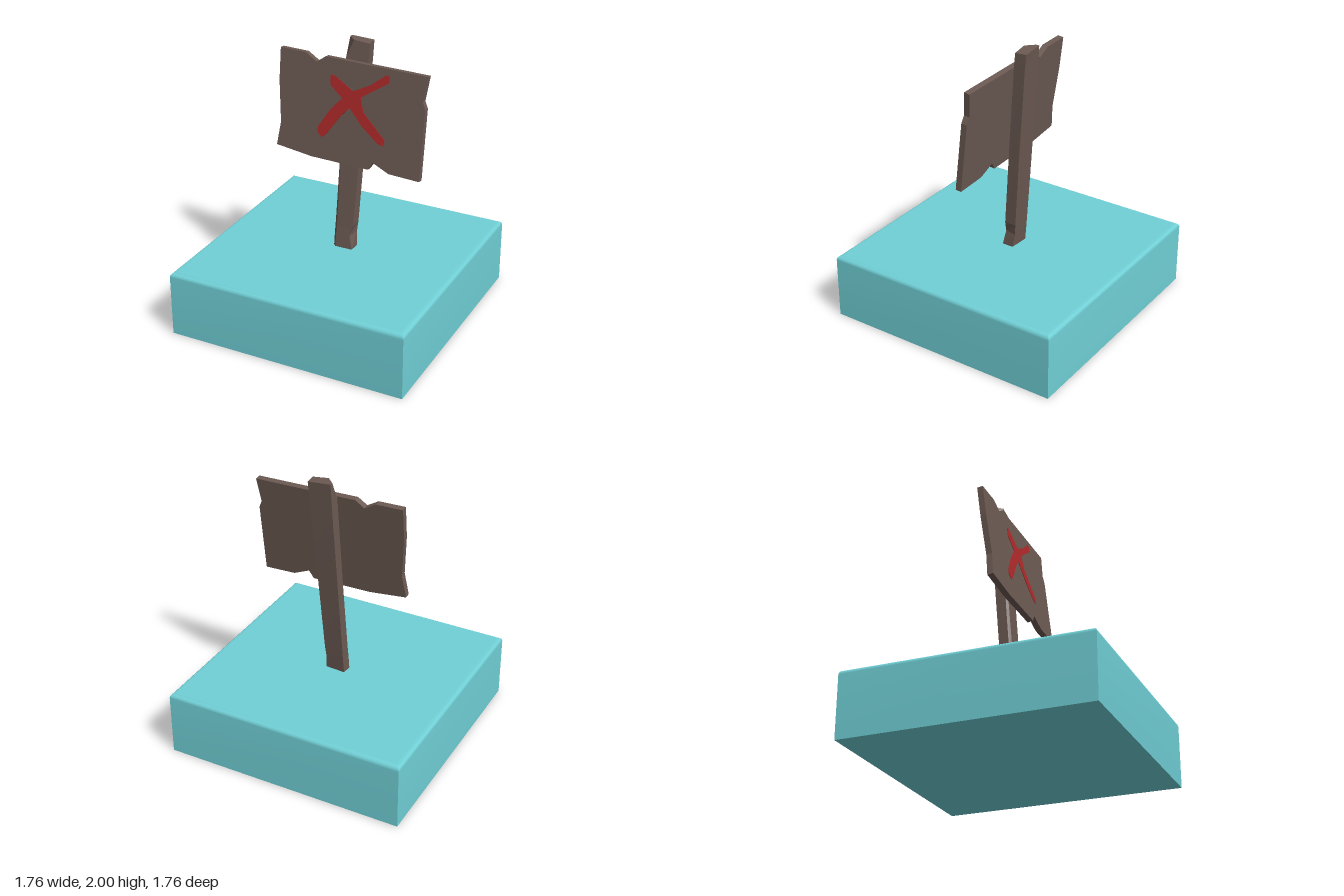
import * as THREE from 'three';
import { toCreasedNormals } from 'three/addons/utils/BufferGeometryUtils.js';

// Skin between rings of [x, y, z] corners, counter-clockwise from above, with both ends capped
function loft(rings, crease) {
  const n = rings[0].length;
  const index = [];
  for (let r = 0; r < rings.length - 1; r++) {
    for (let i = 0; i < n; i++) {
      const a = r * n + i, b = r * n + (i + 1) % n;
      index.push(a, b, b + n, a, b + n, a + n);
    }
  }
  const top = (rings.length - 1) * n;
  for (let i = 1; i < n - 1; i++) {
    index.push(0, i + 1, i);
    index.push(top, top + i, top + i + 1);
  }
  const g = new THREE.BufferGeometry();
  g.setAttribute('position', new THREE.Float32BufferAttribute(rings.flat(2), 3));
  g.setIndex(index);
  return toCreasedNormals(g, crease);
}

// Flat outline given thickness
function plate(points, depth) {
  const shape = new THREE.Shape(points.map(([x, y]) => new THREE.Vector2(x, y - 1.14)));
  return new THREE.ExtrudeGeometry(shape, { depth, bevelEnabled: false });
}

export function createModel() {
  const model = new THREE.Group();
  const water = new THREE.MeshStandardMaterial({ name: 'turquoise', color: 0x70d0d6 });
  const wood = new THREE.MeshStandardMaterial({ name: 'weathered wood', color: 0x6c5a53 });
  const red = new THREE.MeshStandardMaterial({ name: 'red paint', color: 0xb02a2a });

  const add = (parent, name, geometry, material) => {
    const mesh = new THREE.Mesh(geometry, material);
    mesh.name = name;
    parent.add(mesh);
    return mesh;
  };

  // Base block: sharp upright corners, rounded top edges
  const half = 0.88, height = 0.48, r = 0.03;
  const square = (h, y) => [[-h, y, h], [h, y, h], [h, y, -h], [-h, y, -h]];
  const baseRings = [square(half, 0), square(half, height - r - 0.005)];
  for (let i = 0; i <= 5; i++) {
    const a = (i / 5) * Math.PI / 2;
    baseRings.push(square(half - r + r * Math.cos(a), height - r + r * Math.sin(a)));
  }
  baseRings.push(square(half - r - 0.005, height));
  add(model, 'base', loft(baseRings, 0.5), water);

  // Leaning post: chamfered front left edge, chips low on the right and at the top
  add(model, 'post', loft([
    [[-0.066, 0.42, 0.0], [-0.05, 0.42, 0.025], [0.088, 0.42, 0.025], [0.088, 0.42, -0.06], [-0.062, 0.42, -0.07]],
    [[-0.065, 0.48, -0.003], [-0.045, 0.48, 0.02], [0.085, 0.48, 0.018], [0.085, 0.48, -0.065], [-0.06, 0.48, -0.075]],
    [[-0.062, 0.58, -0.01], [-0.043, 0.58, 0.008], [0.06, 0.58, 0.006], [0.077, 0.58, -0.08], [-0.058, 0.58, -0.085]],
    [[-0.06, 0.66, -0.02], [-0.04, 0.66, -0.001], [0.085, 0.66, -0.002], [0.085, 0.66, -0.088], [-0.056, 0.66, -0.092]],
    [[-0.046, 1.15, -0.06], [-0.034, 1.15, -0.043], [0.108, 1.15, -0.046], [0.106, 1.15, -0.128], [-0.045, 1.15, -0.133]],
    [[-0.03, 1.87, -0.12], [-0.024, 1.87, -0.104], [0.141, 1.87, -0.112], [0.136, 1.87, -0.194], [-0.028, 1.87, -0.192]],
    [[-0.026, 2.0, -0.175], [0.03, 2.0, -0.118], [0.145, 1.988, -0.125], [0.138, 1.99, -0.208], [-0.026, 2.0, -0.2]],
  ], 0.12), wood);

  // Tilted sign, pivoting on the lower front edge
  const sign = new THREE.Group();
  sign.name = 'sign';
  sign.position.set(0, 1.14, 0.04);
  sign.rotation.x = -0.12;
  model.add(sign);

  // Ragged board
  const board = add(sign, 'board', plate([
    [-0.495, 1.19], [-0.22, 1.155], [0.215, 1.145], [0.25, 1.2], [0.37, 1.145],
    [0.597, 1.135], [0.602, 1.64], [0.58, 1.69], [0.605, 1.865], [-0.15, 1.88],
    [-0.215, 1.833], [-0.3, 1.885], [-0.495, 1.89], [-0.495, 1.66], [-0.47, 1.36],
  ], 0.043), wood);
  board.position.z = -0.043;

  // Painted cross on the front
  add(sign, 'paintedCross', plate([
    [-0.103, 1.754], [-0.092, 1.764], [-0.06, 1.754], [0.07, 1.675], [0.19, 1.735], [0.31, 1.827],
    [0.332, 1.82], [0.33, 1.775], [0.13, 1.64], [0.156, 1.543], [0.326, 1.375],
    [0.318, 1.333], [0.275, 1.342], [0.156, 1.438], [0.05, 1.555], [-0.013, 1.482],
    [-0.114, 1.336], [-0.146, 1.31], [-0.183, 1.342], [-0.178, 1.385], [-0.09, 1.52],
    [-0.008, 1.613], [-0.03, 1.632], [-0.098, 1.688],
  ], 0.003), red);

  return model;
}
